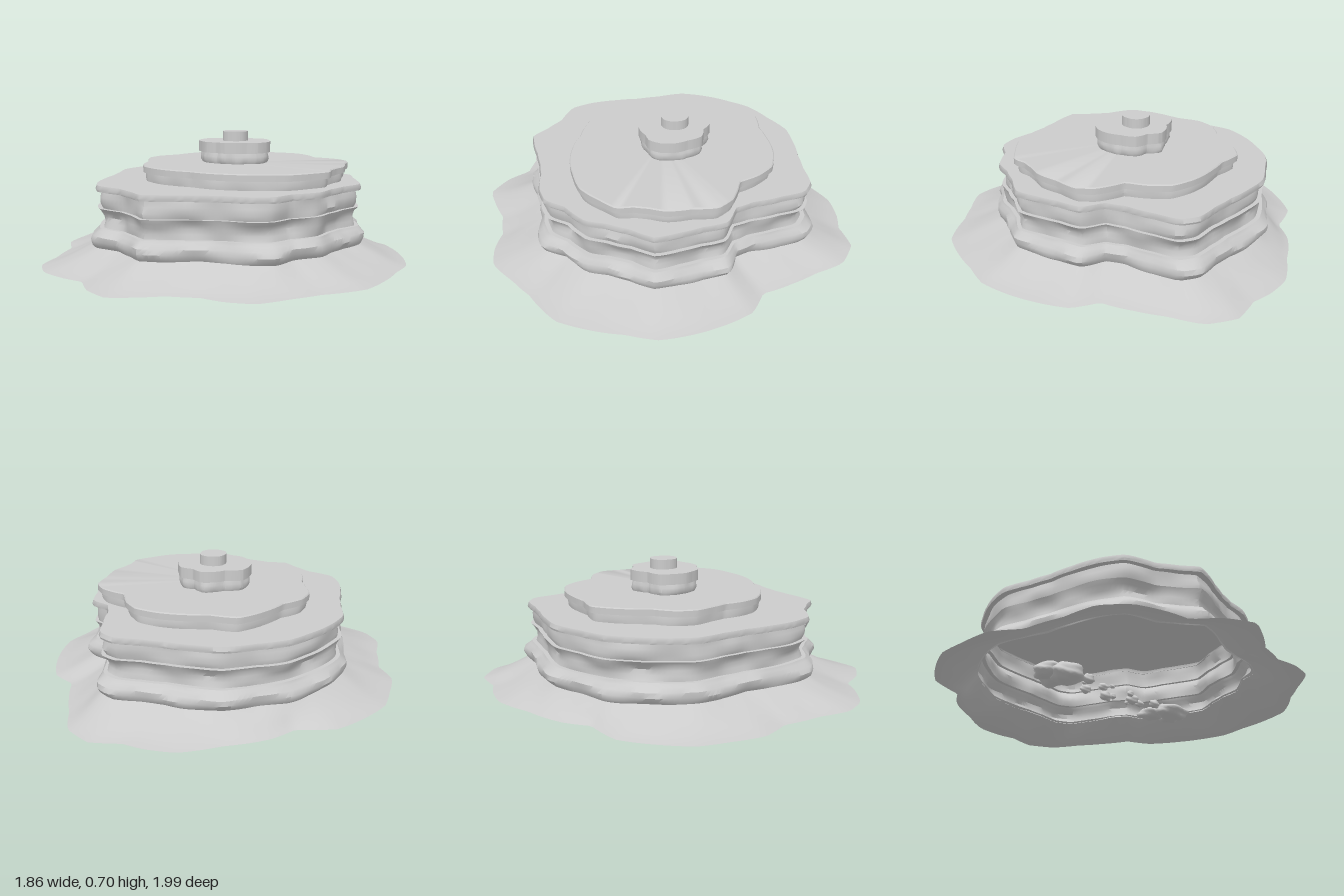
import * as THREE from 'three';
import { toCreasedNormals, mergeVertices } from 'three/addons/utils/BufferGeometryUtils.js';

const N = 180;
const material = new THREE.MeshStandardMaterial({ color: 0xcccccc, side: THREE.DoubleSide });

// Plan outlines as x, z pairs
const skirtEdge = [-.93, -.05, -.93, -.2, -.86, -.36, -.76, -.51, -.58, -.58, -.5, -.7, -.32, -.83, -.15, -.95,
  0, -.97, .1, -.96, .25, -1, .39, -.93, .47, -.78, .55, -.65, .62, -.5, .75, -.44, .85, -.27, .91, -.1, .93, 0,
  .9, .15, .87, .33, .82, .48, .65, .63, .55, .73, .43, .85, .3, .87, .18, .85, .03, .88, -.1, .95, -.2, .99,
  -.33, .92, -.42, .81, -.53, .79, -.68, .73, -.77, .62, -.79, .45, -.83, .25, -.92, .12];
const cliffEdge = [-.69, -.11, -.66, -.25, -.59, -.4, -.53, -.5, -.4, -.6, -.27, -.69, -.15, -.71, 0, -.72, .12, -.73,
  .25, -.75, .33, -.71, .37, -.6, .42, -.45, .47, -.36, .58, -.32, .62, -.2, .66, -.1, .7, .02, .64, .14, .6, .25,
  .58, .35, .47, .46, .42, .56, .33, .6, .2, .61, .1, .63, 0, .66, -.18, .71, -.25, .65, -.35, .58, -.5, .53,
  -.56, .43, -.6, .28, -.62, .15, -.65, .03];
const plateauEdge = [-.5, -.05, -.49, -.15, -.42, -.25, -.37, -.38, -.28, -.51, -.15, -.52, -.05, -.55, .1, -.57,
  .22, -.55, .3, -.48, .36, -.38, .5, -.34, .57, -.27, .58, -.15, .6, -.03, .58, .05, .57, .12, .58, .2, .52, .28,
  .43, .38, .3, .43, .1, .46, -.05, .43, -.13, .42, -.35, .31, -.4, .22, -.42, .12, -.46, .04];
const knobEdge = [-.19, -.06, -.18, -.14, -.1, -.18, -.06, -.22, 0, -.245, .06, -.21, .13, -.2, .17, -.13, .2, -.06,
  .2, 0, .17, .06, .12, .08, .07, .11, .01, .12, -.04, .1, -.1, .09, -.15, .04, -.18, 0];
const pegEdge = [-.06, -.06, -.05, -.11, 0, -.135, .05, -.12, .07, -.07, .06, -.02, .01, .005, -.04, -.01];

// Radius of an outline at N even angles about (cx, cz)
function radii(points, cx = 0, cz = 0) {
  const polar = [];
  for (let i = 0; i < points.length; i += 2) {
    const x = points[i] - cx, z = points[i + 1] - cz;
    polar.push([Math.atan2(z, x), Math.hypot(x, z)]);
  }
  polar.sort((a, b) => a[0] - b[0]);
  const first = polar[0], last = polar[polar.length - 1];
  polar.unshift([last[0] - 2 * Math.PI, last[1]]);
  polar.push([first[0] + 2 * Math.PI, first[1]]);
  return Array.from({ length: N }, (_, j) => {
    const a = -Math.PI + j / N * 2 * Math.PI;
    let k = 1;
    while (polar[k][0] < a) k++;
    const t = (a - polar[k - 1][0]) / (polar[k][0] - polar[k - 1][0]);
    return THREE.MathUtils.lerp(polar[k - 1][1], polar[k][1], t);
  });
}

// Smooth surface through rings of N points, keeping sharp ledges
function loft(name, rows, point) {
  const pos = [], index = [];
  rows.forEach((row, i) => {
    for (let j = 0; j < N; j++) {
      pos.push(...point(row, j, -Math.PI + j / N * 2 * Math.PI));
      if (i === rows.length - 1) continue;
      const a = i * N + j, b = i * N + (j + 1) % N;
      index.push(a, a + N, b, b, a + N, b + N);
    }
  });
  const g = new THREE.BufferGeometry();
  g.setAttribute('position', new THREE.Float32BufferAttribute(pos, 3));
  g.setIndex(index);
  const mesh = new THREE.Mesh(toCreasedNormals(g, 0.7), material);
  mesh.name = name;
  return mesh;
}

// Weathering: shallow bulges that change with height
const wear = (a, y) => Math.sin(a * 9 + y * 31) * 0.5 + Math.sin(a * 17 - y * 47) * 0.3 + Math.sin(a * 5 + y * 19) * 0.4;

// Layer of rock: rows are [height, scale, roughness]
function layer(name, edge, rows, cx = 0, cz = 0) {
  const r = radii(edge, cx, cz);
  return loft(name, rows, ([y, s, rough = 0], j, a) => {
    const q = r[j] * s + rough * wear(a, y);
    return [cx + Math.cos(a) * q, y, cz + Math.sin(a) * q];
  });
}

// Lumpy flattened boulder
function boulder(x, y, z, sx, sy, sz, seed) {
  const base = new THREE.IcosahedronGeometry(1, 4);
  base.deleteAttribute('normal');
  base.deleteAttribute('uv');
  const g = mergeVertices(base), p = g.attributes.position;
  const v = new THREE.Vector3();
  for (let i = 0; i < p.count; i++) {
    v.fromBufferAttribute(p, i);
    v.multiplyScalar(1 + 0.12 * Math.sin(v.x * 4 + seed) * Math.cos(v.z * 5 + seed * 2) + 0.07 * Math.sin(v.y * 6 + v.z * 4 + seed));
    p.setXYZ(i, v.x * sx, v.y * sy, v.z * sz);
  }
  g.computeVertexNormals();
  const mesh = new THREE.Mesh(g, material);
  mesh.position.set(x, y, z);
  mesh.name = 'boulder';
  return mesh;
}

export function createModel() {
  const model = new THREE.Group();
  model.name = 'terracedRock';

  // Flared slope, open underneath
  const outer = radii(skirtEdge), inner = radii(cliffEdge);
  const steps = Array.from({ length: 9 }, (_, i) => i / 8);
  model.add(loft('groundSkirt', steps, (t, j, a) => {
    const q = THREE.MathUtils.lerp(outer[j], inner[j] * 0.99, t) + 0.008 * Math.sin(Math.PI * t) * wear(a, t * 0.1);
    return [Math.cos(a) * q, 0.06 + 0.1 * t ** 1.3, Math.sin(a) * q];
  }));

  // Three worn strata below an overhanging slab
  model.add(layer('cliffStrata', cliffEdge, [
    [.15, 1.0, .008], [.165, 1.02, .01], [.19, 1.035, .012], [.215, 1.03, .012], [.235, 1.0, .01], [.25, .985, .006],
    [.25, .955, .006], [.275, .95, .012], [.3, .95, .014], [.325, .965, .012], [.345, .985, .005],
    [.345, .955, .005], [.37, .965, .01], [.4, .96, .01], [.43, .955, .005],
  ]));
  model.add(layer('cliffSlab', cliffEdge, [[.43, .95], [.43, .995], [.44, 1], [.46, .99], [.46, 0]]));

  // Upper plateau
  model.add(layer('upperPlateau', plateauEdge, [
    [.46, .965, .003], [.48, .97, .004], [.505, .965, .003], [.505, 1], [.535, 1], [.54, .99], [.54, 0],
  ]));

  // Summit
  model.add(layer('summitKnob', knobEdge, [
    [.54, .92, .004], [.555, .96, .004], [.575, .95, .004], [.595, .92, .002], [.595, 1], [.65, 1], [.65, 0],
  ], .01, -.065));
  model.add(layer('summitPeg', pegEdge, [[.65, 1], [.7, 1], [.7, 0]], .01, -.065));

  // Boulders and rubble beneath
  const rubble = new THREE.Group();
  rubble.name = 'undersideRubble';
  rubble.add(
    boulder(-.39, .05, .04, .09, .045, .08, 1), boulder(-.46, .065, -.02, .06, .035, .08, 2),
    boulder(-.36, .07, -.1, .06, .035, .07, 3), boulder(.42, .07, .02, .1, .04, .08, 4),
    boulder(.37, .075, -.09, .06, .035, .08, 5), boulder(.48, .075, -.05, .05, .03, .07, 6));
  for (let i = 0; i < 13; i++) {
    const t = i / 12, s = .018 + .008 * Math.sin(i * 2.3);
    rubble.add(boulder(-.27 + .54 * t, .085 + .008 * Math.sin(i * 4), -.04 + .06 * Math.sin(i * 1.7), s * 1.4, s, s, i));
  }
  model.add(rubble);
  return model;
}
